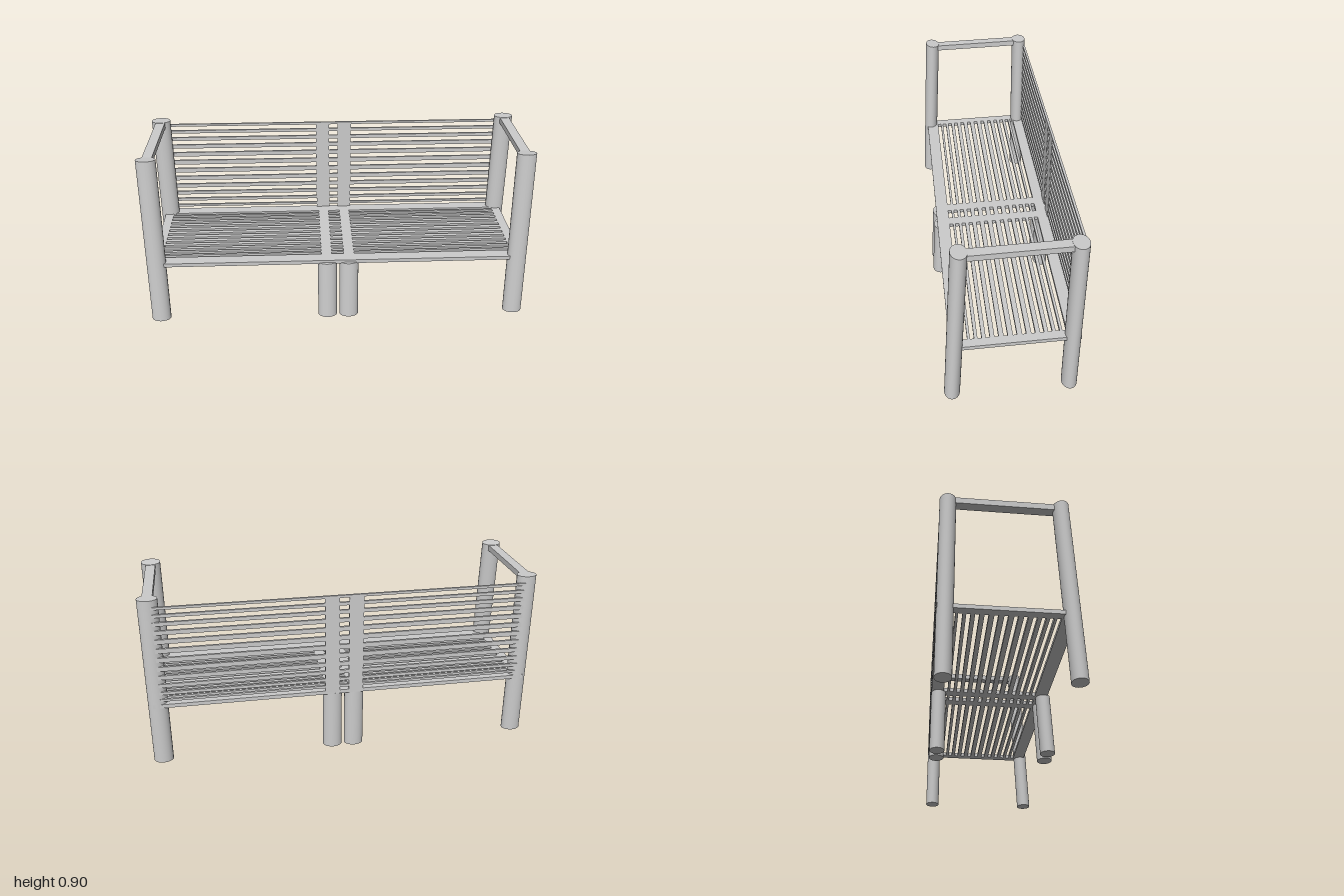
import * as THREE from 'three';

const material = new THREE.MeshStandardMaterial({ color: 0xcccccc });

export function createModel() {
  const group = new THREE.Group();
  const add = (name, geometry, x = 0, y = 0, z = 0, tilt = 0) => {
    const mesh = new THREE.Mesh(geometry, material);
    mesh.name = name;
    mesh.position.set(x, y, z);
    mesh.rotation.x = tilt;
    group.add(mesh);
  };

  // Oval post standing on the ground; lean moves it back per unit of height
  const post = (height, lean = 0, topSlope = 0) => {
    const g = new THREE.CylinderGeometry(0.05, 0.05, height, 32);
    g.scale(1, 1, 0.77).translate(0, height / 2, 0);
    const p = g.attributes.position;
    for (let i = 0; i < p.count; i++) {
      let y = p.getY(i), z = p.getZ(i);
      if (y > height / 2) y += z * topSlope;
      p.setXYZ(i, p.getX(i), y, z - lean * y);
    }
    g.computeVertexNormals();
    return g;
  };

  // Slat widths swell towards the middle of each panel
  const slatCount = 12;
  const slatWidth = i => 0.011 + 0.014 * Math.sin(Math.PI * (i + 0.5) / slatCount);
  const slatLayout = (start, end) => {
    let total = 0;
    for (let i = 0; i < slatCount; i++) total += slatWidth(i);
    const gap = (end - start - total) / (slatCount + 1);
    const slats = [];
    let at = start + gap;
    for (let i = 0; i < slatCount; i++) {
      slats.push([at, at + slatWidth(i)]);
      at += slatWidth(i) + gap;
    }
    return slats;
  };

  // Corner posts, armrests and middle legs
  for (const side of [-1, 1]) {
    add('frontPost', post(0.901, 0.0585, 0.1), side * 0.949, 0, 0.289);
    add('backPost', post(0.905), side * 0.949, 0, -0.2875);
    add('armrest', new THREE.BoxGeometry(0.05, 0.03, 0.5), side * 0.949, 0.884, -0.025, 0.0178);
    add('frontMiddleLeg', post(0.32, 0.0585), side * 0.057, 0, 0.289);
    add('backMiddleLeg', post(0.325), side * 0.057, 0, -0.2875);
    add('backUpright', new THREE.BoxGeometry(0.074, 0.535, 0.012), side * 0.061, 0.6, -0.319);
  }

  // Seat panel: a plate with slots, drawn in x and -z
  const rect = (path, x0, x1, y0, y1) =>
    path.moveTo(x0, y0).lineTo(x1, y0).lineTo(x1, y1).lineTo(x0, y1).closePath();
  const seat = new THREE.Shape();
  rect(seat, -0.973, 0.973, -0.292, 0.325);
  const slats = slatLayout(-0.226, 0.26);
  for (let i = 0; i <= slatCount; i++) {
    const y0 = i ? slats[i - 1][1] : -0.226;
    const y1 = i < slatCount ? slats[i][0] : 0.26;
    for (const [x0, x1] of [[-0.926, -0.087], [-0.032, 0.032], [0.087, 0.926]]) {
      const slot = new THREE.Path();
      rect(slot, x0, x1, y0, y1);
      seat.holes.push(slot);
    }
  }
  const plate = new THREE.ExtrudeGeometry(seat, { depth: 0.02, bevelEnabled: false });
  plate.rotateX(-Math.PI / 2).translate(0, -0.01, 0);
  add('seat', plate, 0, 0.328, 0, 0.0146);

  // Backrest slats running between the back posts
  for (const [y0, y1] of slatLayout(0.335, 0.895)) {
    add('backSlat', new THREE.BoxGeometry(1.87, y1 - y0, 0.012), 0, (y0 + y1) / 2, -0.319);
  }
  return group;
}
